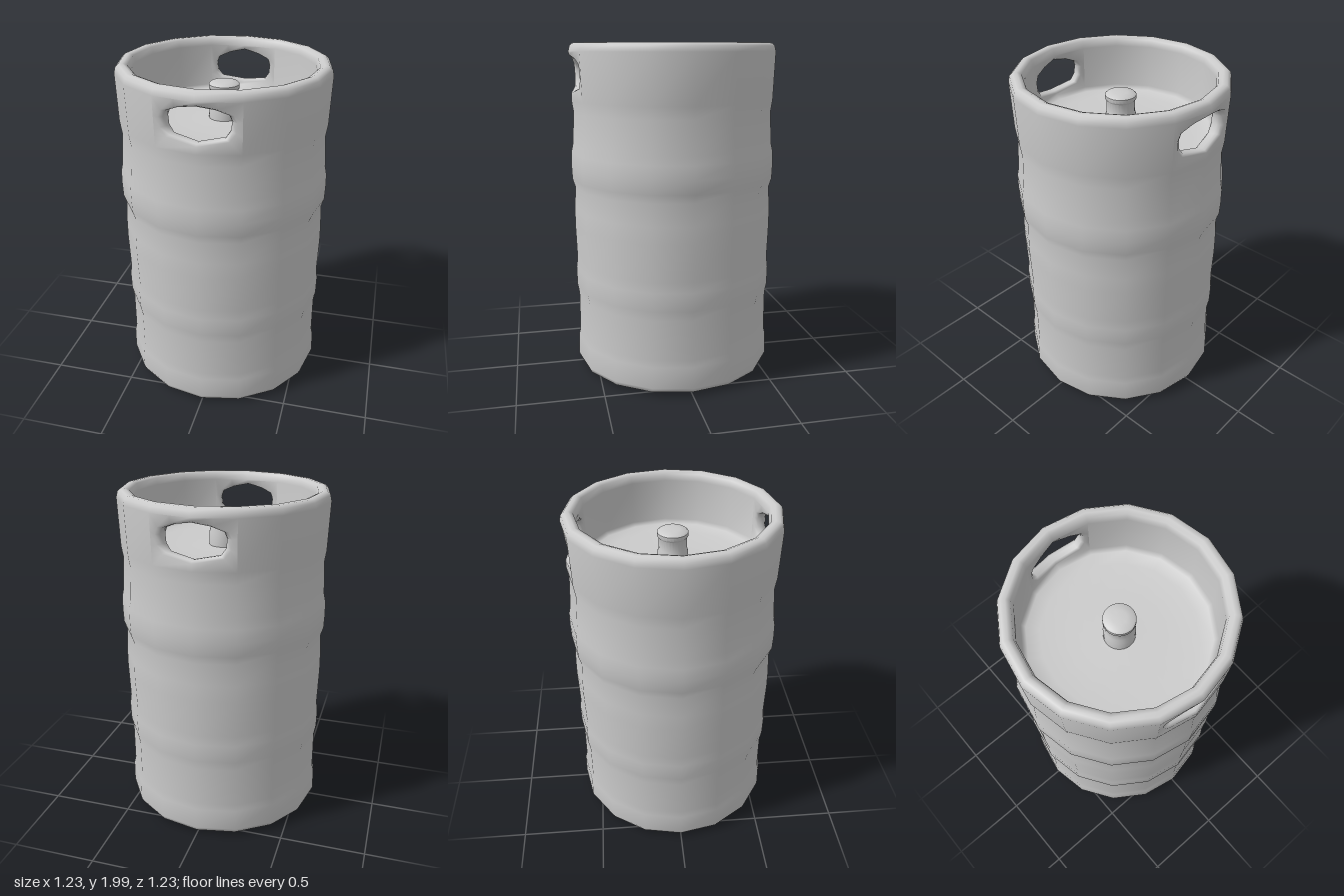
import * as THREE from 'three';
import { mergeVertices, toCreasedNormals } from 'three/addons/utils/BufferGeometryUtils.js';

const SIDES = 16;
const STEP = (Math.PI * 2) / SIDES;
const material = new THREE.MeshStandardMaterial({ color: 0xcccccc });

// Collar limits between which the hand holes are cut
const TOP = 1.95, OUT_LOW = 1.67, IN_LOW = 1.7, INNER_R = 0.53;

// Keg section, from the middle of the base, up the outside, over the rim, down to the dished top
const profile = [
  [0, 0.01], [0.3, 0.02], [0.56, 0.028], [0.595, 0.033], [0.607, 0.06], [0.605, 0.19],
  [0.595, 0.23], [0.594, 0.47], [0.605, 0.53], [0.607, 0.64], [0.599, 0.7], [0.606, 0.92],
  [0.605, 1.02], [0.598, 1.15], [0.614, 1.2], [0.617, 1.28], [0.616, 1.36], [0.605, 1.41],
  [0.594, 1.6], [0.605, OUT_LOW], [0.615, TOP],
  [0.607, 1.982], [0.59, 1.998], [0.565, 2], [0.54, 1.99],
  [INNER_R, TOP], [INNER_R, IN_LOW],
  [0.505, 1.68], [0.43, 1.665], [0.25, 1.66], [0.08, 1.665], [0, 1.665],
];

// Right half of the hand hole and of the panel around it, from bottom to top
const holeHalf = [[0, 1.725], [0.15, 1.75], [0.18, 1.79], [0.185, 1.84], [0.17, 1.875], [0.1, 1.902], [0, 1.92]];
const panelHalf = (low) => [[0, low], [0.235, low], [0.235, 1.77], [0.235, 1.85], [0.235, TOP], [0.117, TOP], [0, TOP]];

const mirrorLoop = (half) => [...half, ...half.slice(1, -1).reverse().map(([x, y]) => [-x, y])];
const grow = (half, s) => half.map(([x, y]) => [x * s, 1.823 + (y - 1.823) * s]);
const outerRadius = (y) => THREE.MathUtils.mapLinear(y, OUT_LOW, TOP, 0.605, 0.615);

// Places a flat panel point on the two facets either side of the front edge
function onFacets([x, y], r, turn) {
  const f = x / 0.235;
  const px = f * Math.sin(STEP) * r;
  const pz = r * (1 - Math.abs(f) * (1 - Math.cos(STEP)));
  return [px * turn, y, pz * turn];
}

function shellGeometry() {
  const positions = [];
  const quad = (a, b, c, d) => positions.push(...a, ...b, ...c, ...a, ...c, ...d);
  const tri = (a, b, c) => positions.push(...a, ...b, ...c);
  const ringPoint = ([r, y], i) => {
    const a = (i % SIDES) * STEP;
    return [r * Math.sin(a), y, r * Math.cos(a)];
  };

  // Sixteen-sided wall, left open where the hand-hole panels go
  for (let k = 0; k < profile.length - 1; k++) {
    const lower = profile[k], upper = profile[k + 1];
    const holed = (lower[1] === OUT_LOW && upper[1] === TOP) || (lower[1] === TOP && upper[1] === IN_LOW);
    for (let i = 0; i < SIDES; i++) {
      if (holed && [0, 7, 8, 15].includes(i)) continue;
      const a = ringPoint(lower, i), b = ringPoint(lower, i + 1);
      const c = ringPoint(upper, i + 1), d = ringPoint(upper, i);
      if (lower[0] === 0) tri(a, c, d);
      else if (upper[0] === 0) tri(a, b, c);
      else quad(a, b, c, d);
    }
  }

  // Hand-hole panels: loops run from the outer face, through the rounded hole, to the inner face
  const loops = [
    [panelHalf(OUT_LOW), outerRadius],
    [grow(holeHalf, 1.13), (y) => outerRadius(y) - 0.003],
    [grow(holeHalf, 1.03), (y) => outerRadius(y) - 0.018],
    [holeHalf, () => 0.572],
    [grow(holeHalf, 1.03), () => INNER_R + 0.016],
    [grow(holeHalf, 1.13), () => INNER_R + 0.002],
    [panelHalf(IN_LOW), () => INNER_R],
  ];
  for (const turn of [1, -1]) {
    const rings = loops.map(([half, radius]) => mirrorLoop(half).map((p) => onFacets(p, radius(p[1]), turn)));
    for (let k = 0; k < rings.length - 1; k++) {
      const n = rings[k].length;
      for (let j = 0; j < n; j++) {
        const m = (j + 1) % n;
        quad(rings[k][j], rings[k][m], rings[k + 1][m], rings[k + 1][j]);
      }
    }
  }

  const geometry = new THREE.BufferGeometry();
  geometry.setAttribute('position', new THREE.Float32BufferAttribute(positions, 3));
  const merged = mergeVertices(geometry, 1e-4);
  merged.computeVertexNormals();
  return merged;
}

function valveGeometry() {
  const points = [
    [0.088, 1.655], [0.088, 1.74], [0.08, 1.765], [0.08, 1.83], [0.088, 1.84],
    [0.088, 1.862], [0.078, 1.871], [0.04, 1.876], [0, 1.878],
  ].map(([r, y]) => new THREE.Vector2(r, y));
  return toCreasedNormals(new THREE.LatheGeometry(points, 28), 0.7);
}

export function createModel() {
  const group = new THREE.Group();
  group.name = 'keg';

  const shell = new THREE.Mesh(shellGeometry(), material);
  shell.name = 'kegShell';
  group.add(shell);

  // Tapping valve in the middle of the dished top
  const valve = new THREE.Mesh(valveGeometry(), material);
  valve.name = 'valve';
  group.add(valve);

  return group;
}
